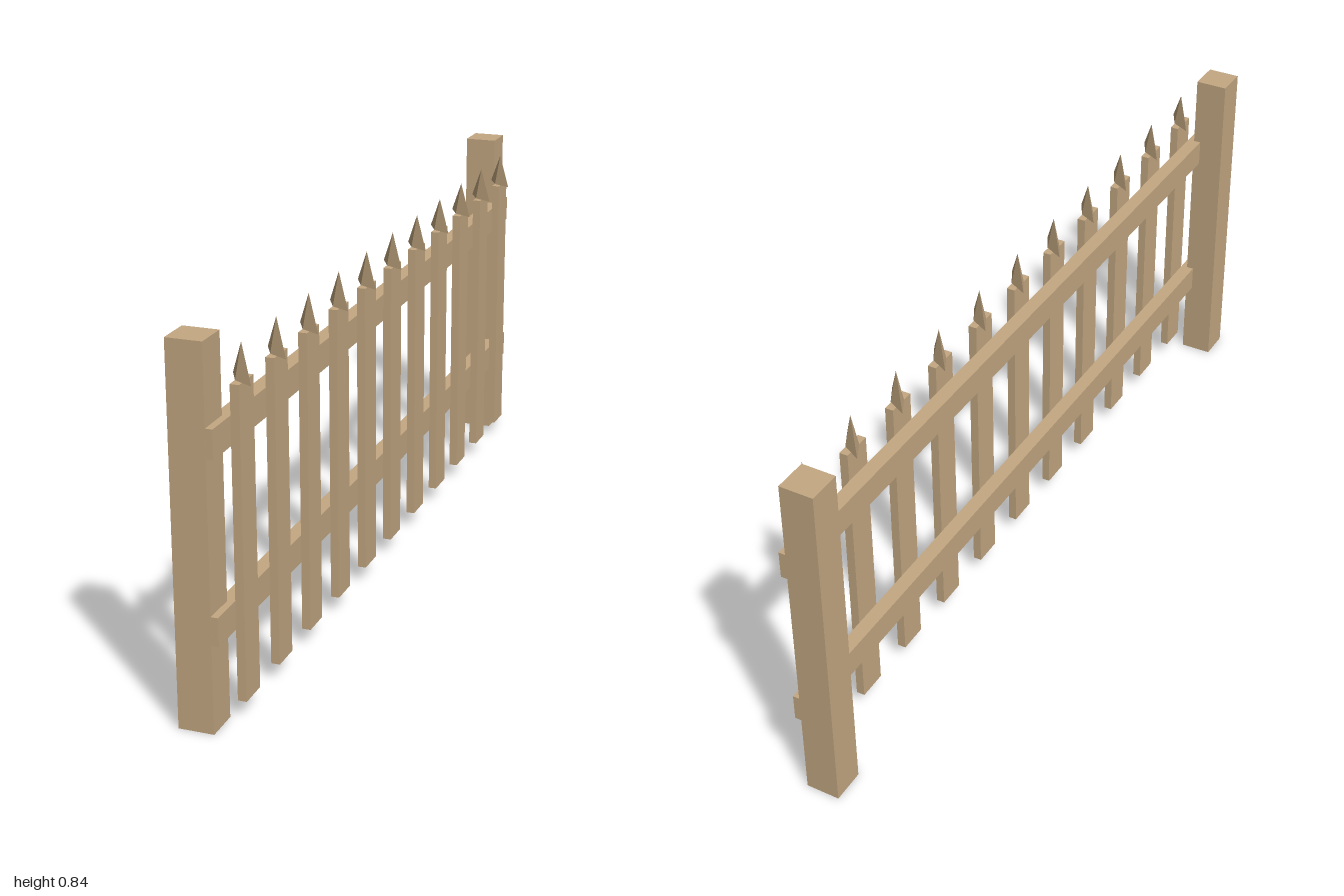
import * as THREE from 'three';

export function createModel() {
  const fence = new THREE.Group();
  fence.name = 'picketFence';
  const wood = new THREE.MeshStandardMaterial({ color: 0xc4a882, flatShading: true });
  wood.name = 'tan wood';

  const add = (name, geometry, x, y, z) => {
    const mesh = new THREE.Mesh(geometry, wood);
    mesh.name = name;
    mesh.position.set(x, y, z);
    fence.add(mesh);
  };

  // Square end posts
  const postGeo = new THREE.BoxGeometry(0.08, 0.84, 0.08);
  for (const z of [0.96, -0.96]) add('post', postGeo, -0.033, 0.42, z);

  // Two horizontal rails running the full length
  const railGeo = new THREE.BoxGeometry(0.034, 0.064, 1.999);
  for (const y of [0.232, 0.632]) add('rail', railGeo, 0.006, y, 0);

  // Pickets with thin four-sided points, turned diagonally
  const picketGeo = new THREE.BoxGeometry(0.02, 0.69, 0.07);
  const tipGeo = new THREE.ConeGeometry(0.049, 0.078, 4);
  tipGeo.scale(0.3, 1, 1);
  tipGeo.rotateY(Math.PI / 4);
  for (let i = -5; i <= 5; i++) {
    add('picket', picketGeo, 0.034, 0.385, i * 0.1765);
    add('picketTip', tipGeo, 0.035, 0.769, i * 0.1765);
  }
  return fence;
}
